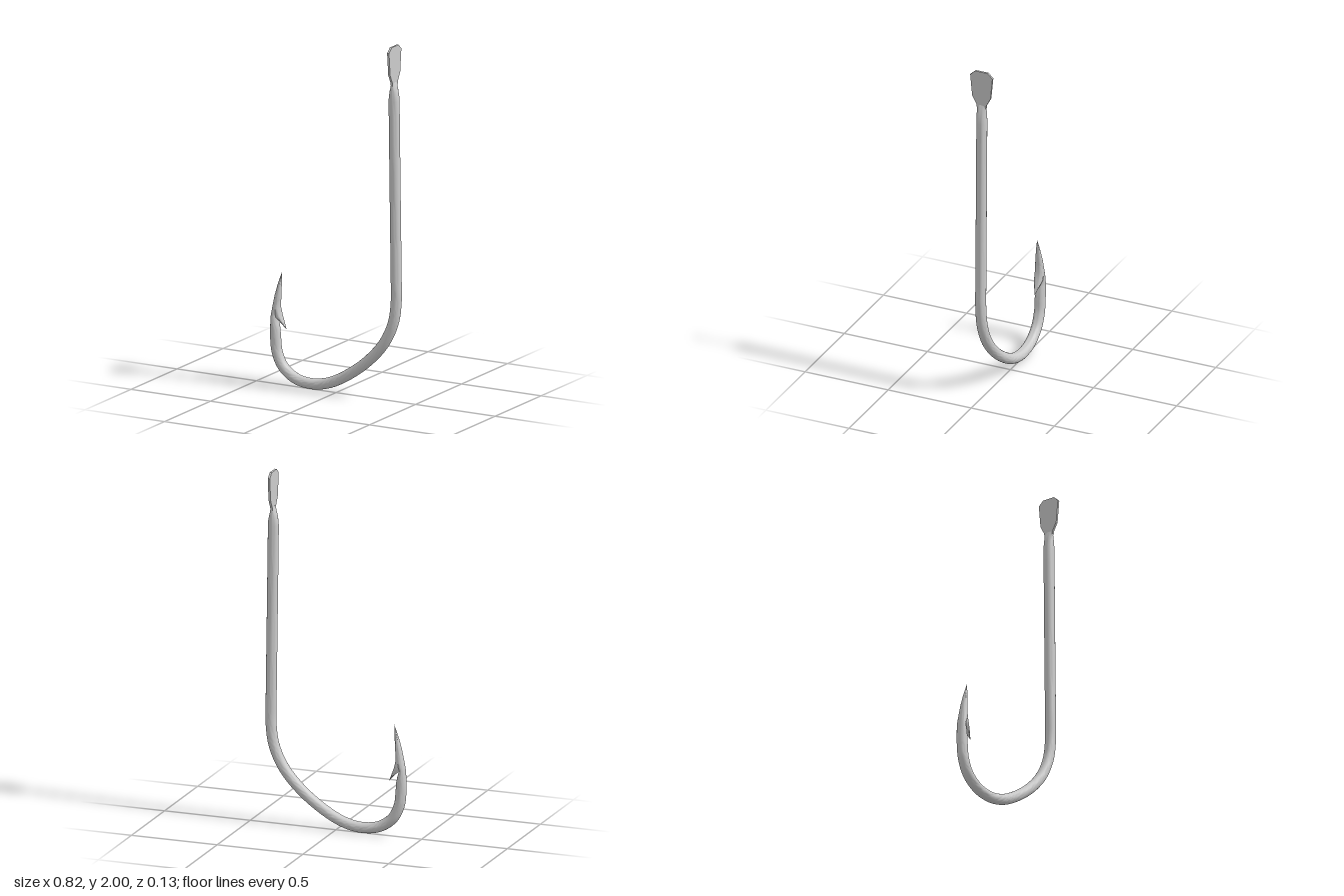
import * as THREE from 'three';
import { toCreasedNormals } from 'three/addons/utils/BufferGeometryUtils.js';

const SIDES = 24;
const R = 0.03;

// Skin of elliptical rings. Each section: centre (x, y), half axis (hx, hy), half width w along z.
function loft(sections) {
  const pos = [], idx = [];
  for (const s of sections) {
    for (let j = 0; j < SIDES; j++) {
      const a = (j / SIDES) * Math.PI * 2, c = Math.cos(a);
      pos.push(s.x + s.hx * c, s.y + s.hy * c, s.w * Math.sin(a));
    }
  }
  for (let i = 0; i < sections.length - 1; i++) {
    for (let j = 0; j < SIDES; j++) {
      const a = i * SIDES + j, b = i * SIDES + (j + 1) % SIDES;
      idx.push(a, b, a + SIDES, b, b + SIDES, a + SIDES);
    }
  }
  const g = new THREE.BufferGeometry();
  g.setAttribute('position', new THREE.Float32BufferAttribute(pos, 3));
  g.setIndex(idx);
  return toCreasedNormals(g, 0.7);
}

// Section given by its outer and inner edge points
const span = ([ox, oy, ix, iy, w]) => ({
  x: (ox + ix) / 2, y: (oy + iy) / 2, hx: (ox - ix) / 2, hy: (oy - iy) / 2, w,
});

export function createModel() {
  const group = new THREE.Group();
  const material = new THREE.MeshStandardMaterial({ color: 0xcccccc });
  const add = (name, geometry) => {
    const mesh = new THREE.Mesh(geometry, material);
    mesh.name = name;
    group.add(mesh);
  };

  // Shank top: round wire pinched into a wedge below the flat end
  const sections = [
    [1.8, 0, 0], [1.8, 0.006, 0.028], [1.775, 0.015, 0.028], [1.745, 0.023, 0.029], [1.715, 0.028, R],
  ].map(([y, hx, w]) => ({ x: 0.365, y, hx, hy: 0, w }));

  // Shank and bend: constant round wire along a curve
  const spine = new THREE.CatmullRomCurve3([
    [0.365, 1.69], [0.372, 1.15], [0.378, 0.7], [0.379, 0.57], [0.36, 0.44], [0.3, 0.315],
    [0.19, 0.195], [0.05, 0.095], [-0.05, 0.048], [-0.146, 0.03], [-0.25, 0.045],
    [-0.33, 0.1], [-0.37, 0.18], [-0.381, 0.27],
  ].map(([x, y]) => new THREE.Vector3(x, y, 0)));
  const steps = 90;
  for (let i = 0; i <= steps; i++) {
    const p = spine.getPoint(i / steps), t = spine.getTangent(i / steps);
    sections.push({ x: p.x, y: p.y, hx: -t.y * R, hy: t.x * R, w: R });
  }

  // Point: tapers to a sharp tip, necked where the barb is cut
  sections.push(...[
    [-0.41, 0.31, -0.354, 0.31, R],
    [-0.408, 0.345, -0.36, 0.34, R],
    [-0.404, 0.385, -0.372, 0.38, 0.028],
    [-0.397, 0.43, -0.352, 0.43, 0.027],
    [-0.383, 0.5, -0.347, 0.495, 0.021],
    [-0.363, 0.57, -0.343, 0.567, 0.012],
    [-0.34, 0.635, -0.34, 0.635, 0],
  ].map(span));
  add('shankBendAndPoint', loft(sections));

  // Barb: sliver lifted away from the inner side of the point
  add('barb', loft([
    [-0.31, 0.312, -0.31, 0.312, 0],
    [-0.337, 0.342, -0.325, 0.35, 0.013],
    [-0.374, 0.377, -0.34, 0.39, 0.025],
    [-0.39, 0.425, -0.35, 0.432, 0.026],
    [-0.378, 0.49, -0.348, 0.49, 0.019],
    [-0.363, 0.49, -0.363, 0.49, 0],
  ].map(span)));

  // Spade end: thin flat plate lying in the y-z plane
  const half = [[0.027, 1.78], [0.03, 1.8], [0.055, 1.846], [0.067, 1.973], [0.038, 2]];
  const outline = [...half, ...half.map(([z, y]) => [-z, y]).reverse()];
  const plate = new THREE.ExtrudeGeometry(
    new THREE.Shape(outline.map(([z, y]) => new THREE.Vector2(z, y))),
    { depth: 0.012, bevelEnabled: false },
  );
  plate.translate(0, 0, -0.006).rotateY(Math.PI / 2).translate(0.366, 0, 0);
  add('spadeEnd', plate);

  return group;
}
